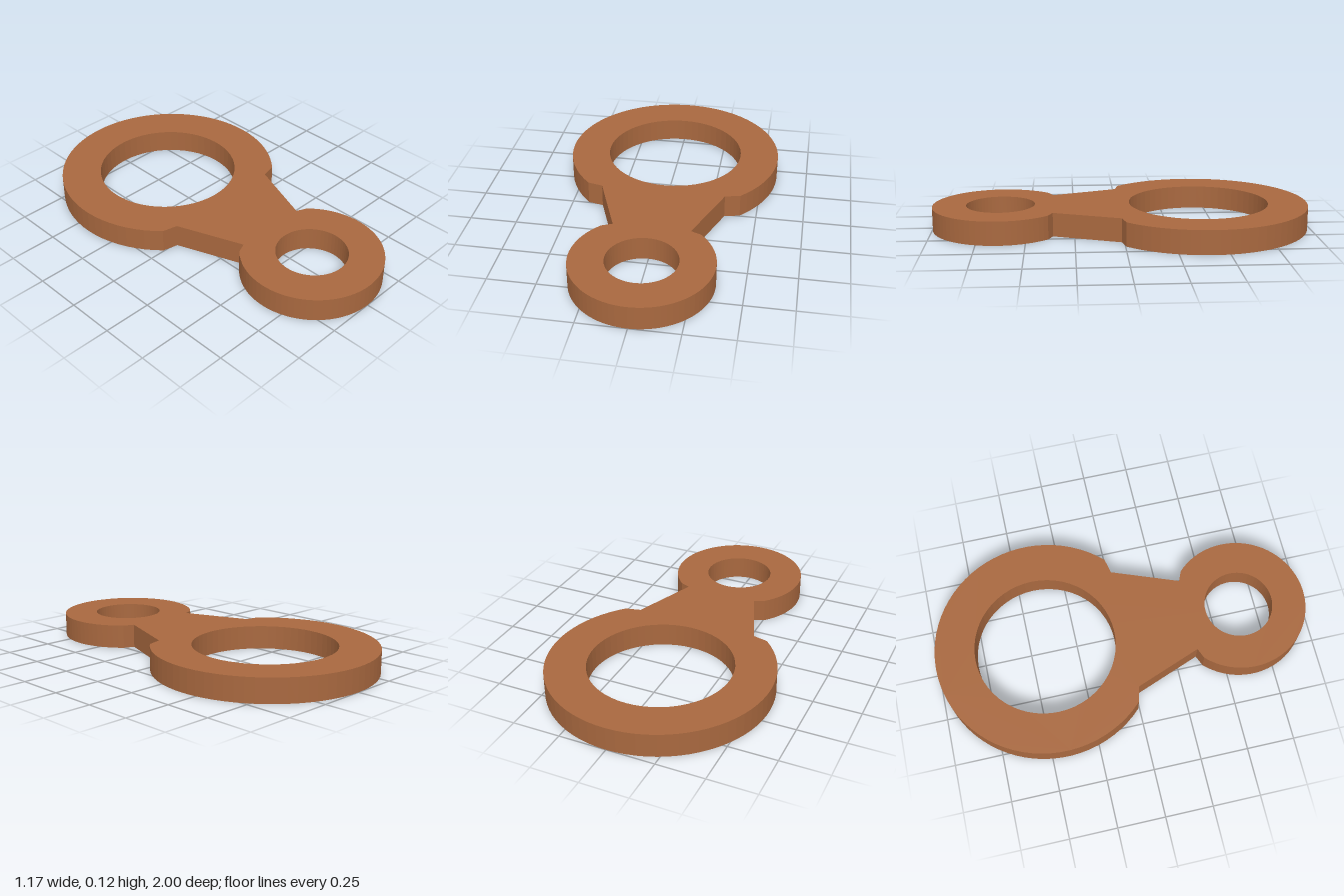
import * as THREE from 'three';

const THICKNESS = 0.125;
const BIG = { y: 0.417, outer: 0.583, hole: 0.373 };
const SMALL = { y: -0.64, outer: 0.36, hole: 0.182 };
const Q = Math.PI / 4;

function hole(ring) {
  const path = new THREE.Path();
  path.absarc(0, ring.y, ring.hole, 0, Math.PI * 2, true);
  return path;
}

export function createModel() {
  const copper = new THREE.MeshStandardMaterial({ color: 0xa8683f });
  copper.name = 'copper brown';

  // Outline: large ring, tapered neck, small ring
  const outline = new THREE.Shape();
  outline.absarc(0, BIG.y, BIG.outer, -Q, 5 * Q, false);
  outline.lineTo(-0.332, -0.014);
  outline.lineTo(-0.2, -0.362);
  outline.absarc(0, SMALL.y, SMALL.outer, 3 * Q, 9 * Q, false);
  outline.lineTo(0.2, -0.362);
  outline.lineTo(0.332, -0.014);
  outline.holes.push(hole(BIG), hole(SMALL));

  // Lay the extruded plate flat, with the small ring at the front
  const geometry = new THREE.ExtrudeGeometry(outline, {
    depth: THICKNESS, bevelEnabled: false, curveSegments: 28,
  });
  geometry.rotateX(-Math.PI / 2);

  const plate = new THREE.Mesh(geometry, copper);
  plate.name = 'doubleRingPlate';
  const model = new THREE.Group();
  model.name = 'doubleRingLink';
  model.add(plate);
  return model;
}
